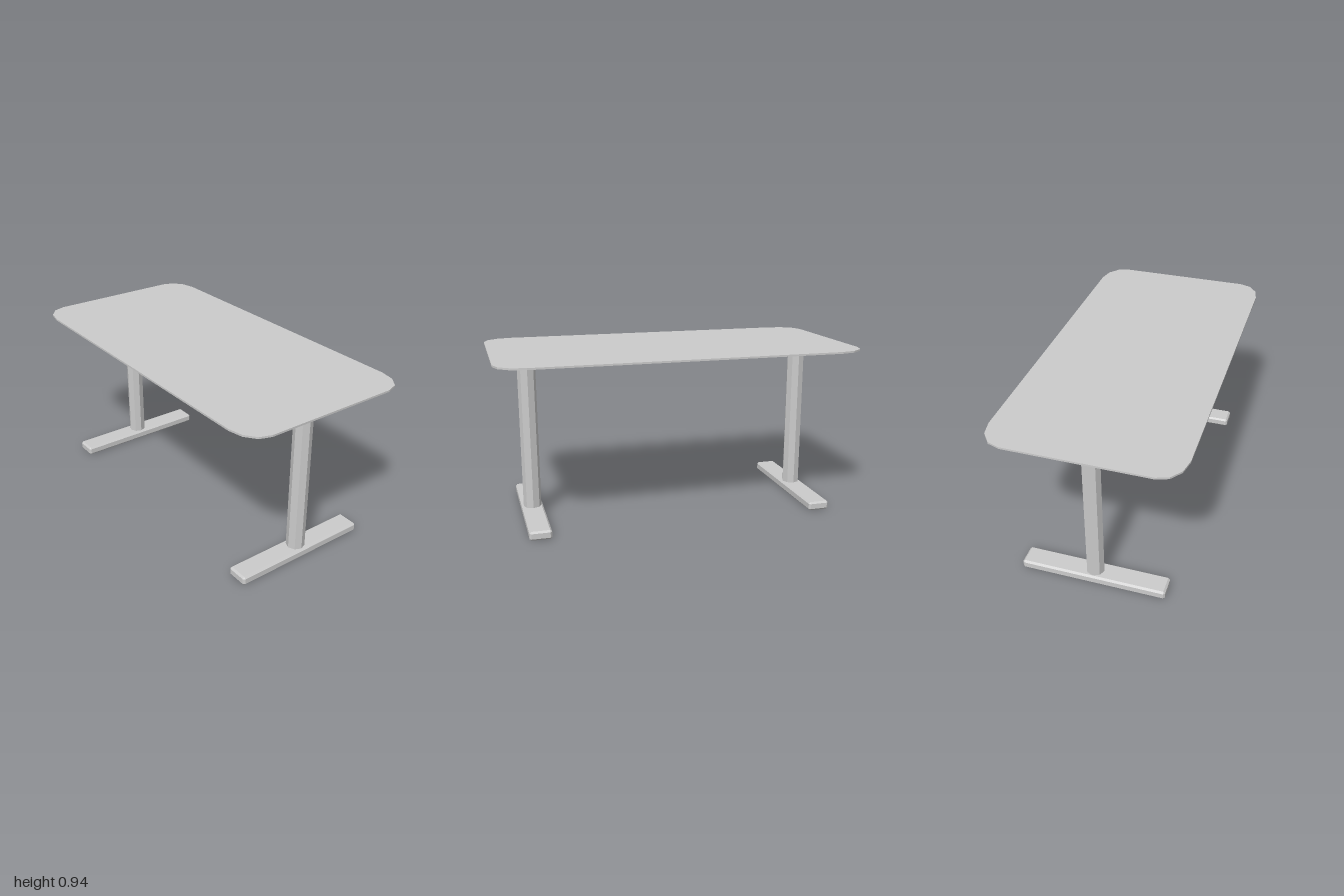
import * as THREE from 'three';
import { ConvexGeometry } from 'three/addons/geometries/ConvexGeometry.js';

const material = new THREE.MeshStandardMaterial({ color: 0xcccccc, flatShading: true });

function part(name, geometry, x, y, z) {
  const mesh = new THREE.Mesh(geometry, material);
  mesh.name = name;
  mesh.position.set(x, y, z);
  return mesh;
}

// Box with every edge chamfered by c
function chamferedBox(w, h, d, c) {
  const points = [];
  for (const sx of [-1, 1]) for (const sy of [-1, 1]) for (const sz of [-1, 1]) {
    const x = w / 2, y = h / 2, z = d / 2;
    points.push(
      new THREE.Vector3(sx * x, sy * (y - c), sz * (z - c)),
      new THREE.Vector3(sx * (x - c), sy * y, sz * (z - c)),
      new THREE.Vector3(sx * (x - c), sy * (y - c), sz * z)
    );
  }
  return new ConvexGeometry(points);
}

// Thin slab with elliptical corners of three facets each
function tabletopGeometry(halfW, halfD, rx, rz, thickness) {
  const outline = [];
  const corners = [[1, 1], [-1, 1], [-1, -1], [1, -1]];
  corners.forEach(([sx, sz], quarter) => {
    for (let i = 0; i <= 3; i++) {
      const a = (quarter + i / 3) * Math.PI / 2;
      outline.push(new THREE.Vector2(
        sx * (halfW - rx) + rx * Math.cos(a),
        sz * (halfD - rz) + rz * Math.sin(a)
      ));
    }
  });
  const geometry = new THREE.ExtrudeGeometry(new THREE.Shape(outline), { depth: thickness, bevelEnabled: false });
  return geometry.rotateX(-Math.PI / 2);
}

export function createModel() {
  const group = new THREE.Group();
  group.name = 'table';

  group.add(part('tabletop', tabletopGeometry(0.5, 1, 0.125, 0.16, 0.01), 0, 0.93, 0));

  // One octagonal column on a bar foot at each end
  const column = new THREE.CylinderGeometry(0.05, 0.05, 0.88, 8);
  const foot = chamferedBox(0.8, 0.05, 0.12, 0.01);
  for (const [end, z] of [['front', 0.8], ['back', -0.8]]) {
    const leg = new THREE.Group();
    leg.name = end + 'Leg';
    leg.add(part(end + 'Column', column, 0, 0.49, z));
    leg.add(part(end + 'Foot', foot, 0, 0.025, z));
    group.add(leg);
  }
  return group;
}
